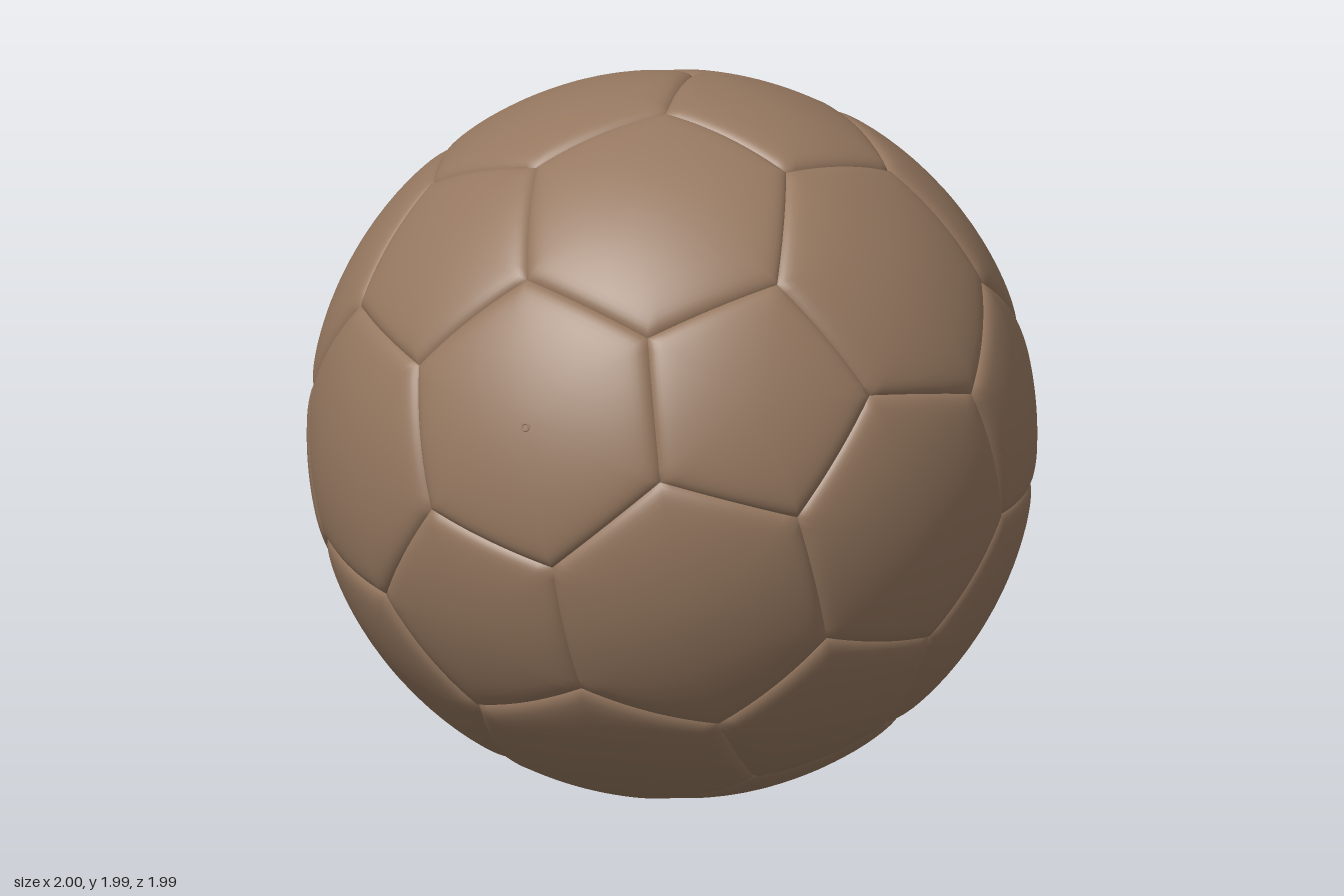
import * as THREE from 'three';
import { mergeVertices } from 'three/addons/utils/BufferGeometryUtils.js';

const RADIUS = 0.998;
const EDGE_STEPS = 12;
const RINGS = 14;

// Sort directions counter-clockwise around an axis, seen from outside
function sortAround(axis, points) {
  const u = points[0].clone().addScaledVector(axis, -points[0].dot(axis)).normalize();
  const v = axis.clone().cross(u);
  const angle = (p) => Math.atan2(p.dot(v), p.dot(u));
  return [...points].sort((a, b) => angle(a) - angle(b));
}

// The twelve pentagon centres: a tilted pole, a ring of five, and their opposites
function pentagonCentres() {
  const pole = new THREE.Vector3(0.249, 0.953, 0.17).normalize();
  const toward = new THREE.Vector3(-0.19, 0.336, 0.922);
  const u = toward.addScaledVector(pole, -toward.dot(pole)).normalize();
  const v = pole.clone().cross(u);
  const centres = [pole];
  for (let i = 0; i < 5; i++) {
    const a = (i * Math.PI * 2) / 5;
    centres.push(pole.clone().multiplyScalar(1 / Math.sqrt(5))
      .addScaledVector(u, Math.cos(a) * 2 / Math.sqrt(5))
      .addScaledVector(v, Math.sin(a) * 2 / Math.sqrt(5)));
  }
  return centres.concat(centres.map((c) => c.clone().negate()));
}

// Puffed panel: its radius dips into a seam along every edge
function panelGeometry(corners) {
  const centre = corners.reduce((s, c) => s.add(c), new THREE.Vector3()).normalize();
  const ring = sortAround(centre, corners);
  const n = ring.length * EDGE_STEPS;
  const positions = [];
  const indices = [];
  for (let r = 0; r <= RINGS; r++) {
    const t = 1 - (1 - r / RINGS) ** 2.2;
    for (let k = 0; k < n; k++) {
      const side = Math.floor(k / EDGE_STEPS);
      const a = ring[side];
      const b = ring[(side + 1) % ring.length];
      const p = a.clone().lerp(b, (k % EDGE_STEPS) / EDGE_STEPS).normalize();
      p.lerp(centre, 1 - t).normalize();
      const d = Math.max(0, p.dot(a.clone().cross(b).normalize()));
      const dip = 0.013 * Math.exp(-d / 0.014) + 0.008 * Math.exp(-d / 0.06);
      p.multiplyScalar(RADIUS - dip);
      positions.push(p.x, p.y, p.z);
      if (r < RINGS) {
        const i = r * n + k;
        const j = r * n + ((k + 1) % n);
        if (r > 0) indices.push(i, i + n, j);
        indices.push(j, i + n, j + n);
      }
    }
  }
  const geometry = new THREE.BufferGeometry();
  geometry.setAttribute('position', new THREE.Float32BufferAttribute(positions, 3));
  geometry.setIndex(indices);
  const merged = mergeVertices(geometry, 1e-5);
  merged.computeVertexNormals();
  return merged;
}

export function createModel() {
  const leather = new THREE.MeshStandardMaterial({ color: 0x967860 });
  leather.name = 'brown leather';
  const model = new THREE.Group();
  model.name = 'ball';
  const ball = new THREE.Group();
  ball.name = 'panels';
  ball.position.y = 1;
  model.add(ball);

  const add = (name, geometry) => {
    const mesh = new THREE.Mesh(geometry, leather);
    mesh.name = name;
    ball.add(mesh);
    return mesh;
  };

  const centres = pentagonCentres();
  const near = (a, b) => a !== b && a.dot(b) > 0.4;
  // Panel corner: one third of the way from one pentagon centre to the next
  const corner = (a, b) => a.clone().multiplyScalar(2).add(b).normalize();

  // Twelve pentagons
  for (const a of centres) {
    add('pentagonPanel', panelGeometry(centres.filter((b) => near(a, b)).map((b) => corner(a, b))));
  }

  // Twenty hexagons, one for each trio of neighbouring pentagons
  centres.forEach((a, i) => centres.forEach((b, j) => centres.forEach((c, k) => {
    if (i < j && j < k && near(a, b) && near(b, c) && near(a, c)) {
      add('hexagonPanel', panelGeometry([
        corner(a, b), corner(b, a), corner(b, c), corner(c, b), corner(c, a), corner(a, c),
      ]));
    }
  })));

  // Small air valve rim
  const valve = add('valve', new THREE.TorusGeometry(0.01, 0.004, 8, 20));
  const direction = new THREE.Vector3(-0.74, 0.27, 0.615).normalize();
  valve.position.copy(direction).multiplyScalar(RADIUS - 0.002);
  valve.quaternion.setFromUnitVectors(new THREE.Vector3(0, 0, 1), direction);

  return model;
}
